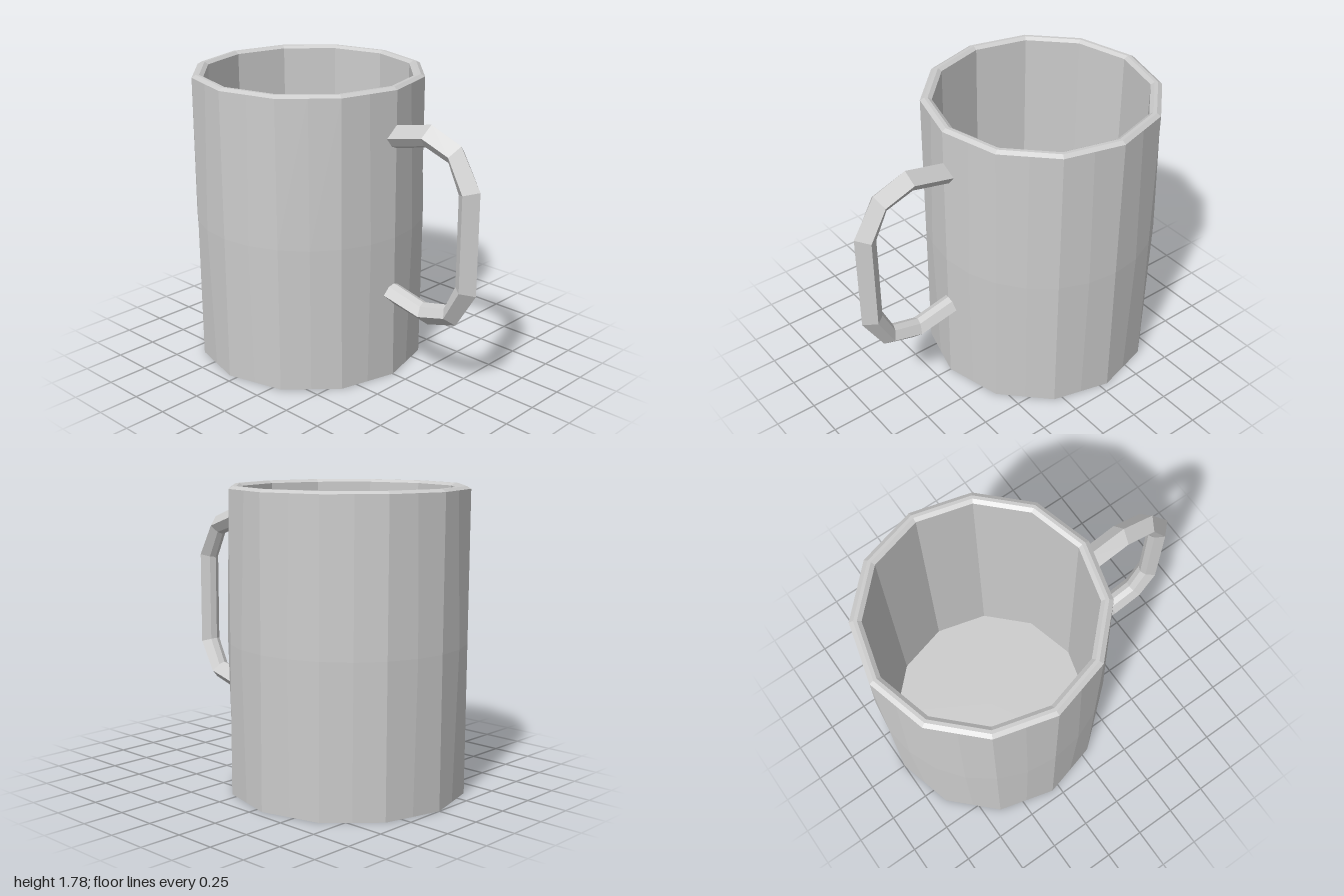
import * as THREE from 'three';

const material = new THREE.MeshStandardMaterial({ color: 0xcccccc });

// Joins successive closed loops of points with flat-shaded quads.
function skin(name, loops) {
  const positions = [], normals = [];
  for (let i = 0; i < loops.length - 1; i++) {
    const n = loops[i].length;
    for (let j = 0; j < n; j++) {
      const k = (j + 1) % n;
      const a = loops[i][j], b = loops[i][k], c = loops[i + 1][k], d = loops[i + 1][j];
      const normal = c.clone().sub(a).cross(d.clone().sub(b)).normalize();
      for (const p of [a, b, c, a, c, d]) {
        positions.push(p.x, p.y, p.z);
        normals.push(normal.x, normal.y, normal.z);
      }
    }
  }
  const geometry = new THREE.BufferGeometry();
  geometry.setAttribute('position', new THREE.Float32BufferAttribute(positions, 3));
  geometry.setAttribute('normal', new THREE.Float32BufferAttribute(normals, 3));
  const mesh = new THREE.Mesh(geometry, material);
  mesh.name = name;
  return mesh;
}

// Twelve-sided ring with a point in the middle of each side;
// a round ring pushes those middle points out to the full radius.
function ring(radius, y, round = false) {
  const points = [];
  for (let j = 0; j < 24; j++) {
    const angle = j * Math.PI / 12;
    const r = j % 2 && !round ? radius * Math.cos(Math.PI / 12) : radius;
    points.push(new THREE.Vector3(r * Math.cos(angle), y, -r * Math.sin(angle)));
  }
  return points;
}

export function createModel() {
  const model = new THREE.Group();
  model.name = 'mug';

  // Cup: outer wall with base, bevelled rim, hollow inside
  const cup = new THREE.Group();
  cup.name = 'cup';
  cup.position.x = -0.3;
  cup.add(
    skin('outerWall', [ring(0, 0), ring(0.7, 0), ring(0.7, 0.89, true), ring(0.7, 1.77)]),
    skin('rim', [ring(0.7, 1.77), ring(0.675, 1.785), ring(0.655, 1.785), ring(0.632, 1.77)]),
    skin('inside', [ring(0.632, 1.77), ring(0.632, 0.07), ring(0, 0.07)])
  );
  model.add(cup);

  // Handle: outer and inner ridge lines, from the top joint to the bottom one
  const outer = [[0.36, 1.56], [0.65, 1.62], [0.86, 1.54], [1, 1.31], [1, 0.7], [0.865, 0.48], [0.66, 0.42], [0.36, 0.475]];
  const inner = [[0.36, 1.425], [0.625, 1.485], [0.795, 1.43], [0.865, 1.275], [0.865, 0.74], [0.795, 0.59], [0.625, 0.55], [0.36, 0.61]];
  // Cross-section: share of the way from outer to inner ridge, and z
  const section = [[0, 0], [0.5, 0.07], [0.88, 0.035], [1, 0], [0.88, -0.035], [0.5, -0.07]];
  const loops = outer.map(([ox, oy], i) => section.map(([t, z]) => new THREE.Vector3(
    THREE.MathUtils.lerp(ox, inner[i][0], t),
    THREE.MathUtils.lerp(oy, inner[i][1], t),
    z
  )));
  model.add(skin('handle', loops));

  return model;
}
